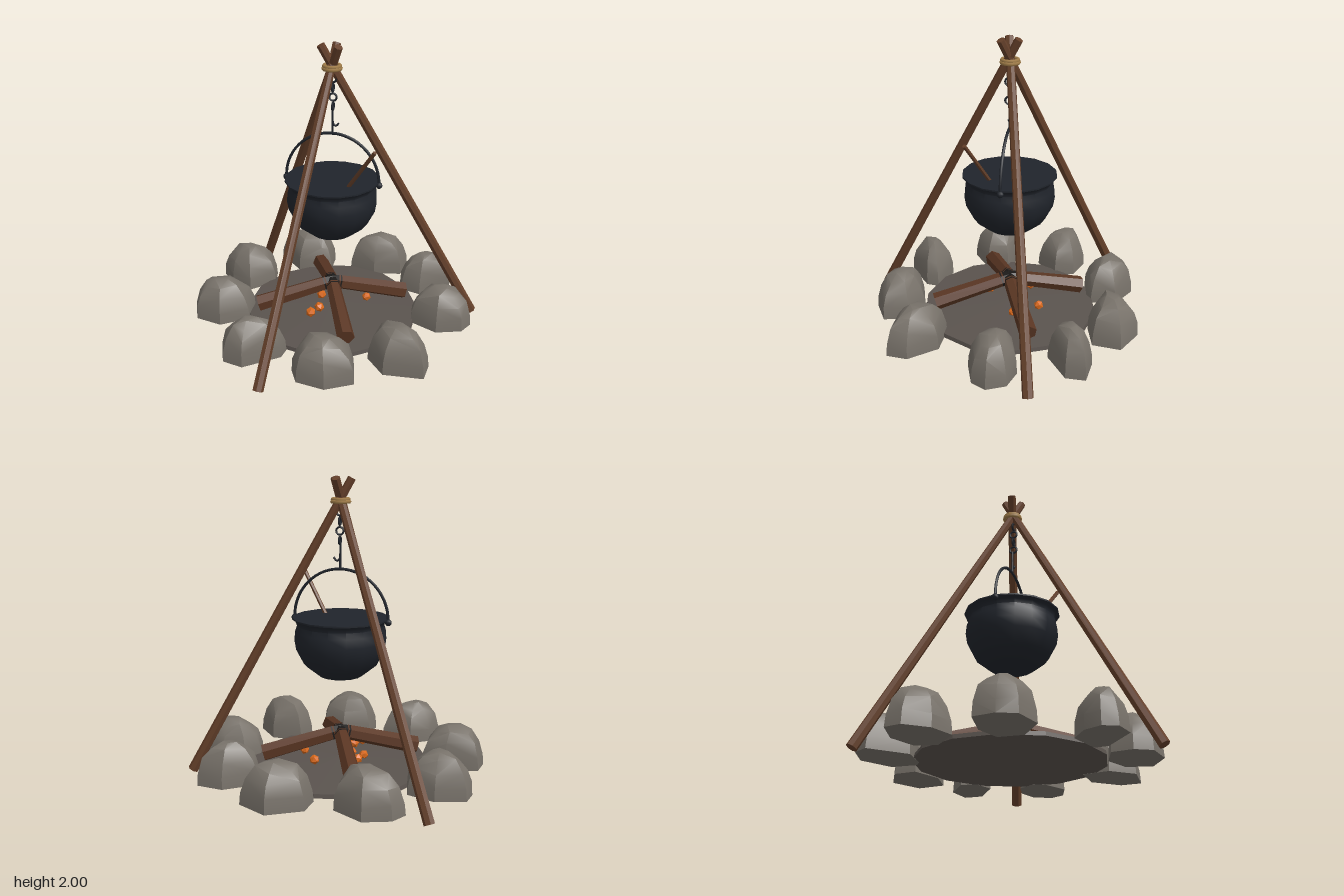
import * as THREE from 'three';
import { toCreasedNormals } from 'three/addons/utils/BufferGeometryUtils.js';
import { ConvexGeometry } from 'three/addons/geometries/ConvexGeometry.js';

const material = (color, flatShading = false) =>
  new THREE.MeshStandardMaterial({ color, flatShading });
const V = (x, y, z) => new THREE.Vector3(x, y, z);
const CX = -0.025, CZ = -0.05; // axis of the fire and pot

export function createModel() {
  const model = new THREE.Group();
  const wood = material(0x65402a, true);
  const logWood = material(0x5a3623, true);
  const char = material(0x1c1a19, true);
  const iron = material(0x20242b);
  const rope = material(0xa07c48);
  const stone = material(0x78726a);
  const ash = material(0x5a534e, true);
  const ember = material(0xd9691c, true);

  function add(name, geometry, mat, x = 0, y = 0, z = 0) {
    const mesh = new THREE.Mesh(geometry, mat);
    mesh.name = name;
    mesh.position.set(x, y, z);
    model.add(mesh);
    return mesh;
  }

  // Tapered rod between two points
  function rod(name, a, b, ra, rb, sides, mat) {
    const dir = b.clone().sub(a);
    const mesh = add(name, new THREE.CylinderGeometry(rb, ra, dir.length(), sides), mat);
    mesh.position.copy(a).lerp(b, 0.5);
    mesh.quaternion.setFromUnitVectors(V(0, 1, 0), dir.normalize());
    return mesh;
  }

  // Tripod poles crossing at the lashing
  rod('frontPole', V(-0.247, 0.02, 0.935), V(-0.01, 1.985, -0.11), 0.036, 0.028, 7, wood);
  rod('leftPole', V(0.94, 0.02, -0.35), V(-0.095, 1.985, -0.03), 0.036, 0.028, 7, wood);
  rod('backPole', V(-0.762, 0.02, -0.745), V(0.03, 1.985, 0.0), 0.036, 0.028, 7, wood);

  // Rope lashing
  for (const [y, r] of [[1.835, 0.056], [1.85, 0.052]]) {
    add('lashing', new THREE.TorusGeometry(r, 0.013, 6, 16), rope, CX, y, CZ).rotation.x = Math.PI / 2;
  }

  // Chain links, turned in alternation
  for (let i = 0; i < 4; i++) {
    const link = add('chainLink', new THREE.TorusGeometry(0.025, 0.007, 6, 12), iron, -0.018, 1.585 + i * 0.062, CZ + 0.005);
    link.rotation.y = i % 2 ? 0 : Math.PI / 2;
  }

  // Hook
  const hookPath = new THREE.CatmullRomCurve3([
    V(-0.022, 1.57, CZ), V(-0.022, 1.49, CZ), V(-0.015, 1.462, CZ), V(0.002, 1.452, CZ), V(0.022, 1.475, CZ),
  ]);
  add('hook', new THREE.TubeGeometry(hookPath, 14, 0.007, 6), iron);
  rod('hookStem', V(-0.022, 1.39, CZ), V(-0.022, 1.5, CZ), 0.007, 0.007, 6, iron);

  // Cauldron with a filled top
  const profile = [[0, 0.685], [0.145, 0.685], [0.245, 0.765], [0.297, 0.865], [0.308, 0.93], [0.303, 0.99], [0.29, 1.03], [0.3, 1.055], [0.32, 1.07], [0.32, 1.08], [0, 1.08]]
    .map(([r, y]) => new THREE.Vector2(r, y));
  add('cauldron', toCreasedNormals(new THREE.LatheGeometry(profile, 16), 0.7), iron, CX, 0, CZ);

  // Bail handle and its lugs
  const arc = [];
  for (let i = 0; i <= 16; i++) {
    const t = Math.PI * i / 16;
    arc.push(V(CX + 0.322 * Math.cos(t), 1.065 + 0.335 * Math.sin(t), CZ));
  }
  add('handle', new THREE.TubeGeometry(new THREE.CatmullRomCurve3(arc), 28, 0.01, 6), iron);
  for (const s of [-1, 1]) {
    add('handleLug', new THREE.SphereGeometry(0.023, 8, 6), iron, CX + s * 0.322, 1.06, CZ);
  }

  // Stirring stick
  rod('stirringStick', V(0.09, 1.04, 0.045), V(0.31, 1.375, 0.175), 0.014, 0.014, 6, wood);

  // Ash bed
  const bed = [[0, 0.058], [0.61, 0.058], [0.605, 0.085], [0, 0.115]].map(([r, y]) => new THREE.Vector2(r, y));
  add('ashBed', new THREE.LatheGeometry(bed, 14), ash, CX, 0, CZ - 0.005);

  // Logs leaning together, with charred tips
  for (let i = 0; i < 4; i++) {
    const a = 1.145 + i * Math.PI / 2;
    const at = (r, y) => V(CX + r * Math.cos(a), y, CZ + r * Math.sin(a));
    rod('log', at(0.53, 0.16), at(0.04, 0.28), 0.06, 0.05, 6, logWood);
    rod('charredTip', at(0.06, 0.275), at(-0.01, 0.292), 0.052, 0.04, 6, char);
  }

  // Embers
  for (const [x, z, r] of [[-0.12, 0.18, 0.036], [-0.08, 0.1, 0.036], [0.21, -0.12, 0.032],
    [0.09, -0.28, 0.034], [-0.11, -0.07, 0.034], [-0.18, -0.18, 0.034], [-0.2, -0.1, 0.032]]) {
    add('ember', new THREE.IcosahedronGeometry(r, 0), ember, x, 0.155, z).rotation.set(x * 9, z * 7, 0);
  }

  // Ring of stones: footprint corners (x, z) drawn in towards a rounded top
  const footprints = [
    [[0.18, -0.97], [0.38, -0.87], [0.36, -0.68], [0.16, -0.63], [-0.04, -0.7], [-0.03, -0.85]],
    [[-0.39, -0.9], [-0.19, -0.79], [-0.18, -0.62], [-0.23, -0.58], [-0.42, -0.55], [-0.62, -0.74], [-0.56, -0.84]],
    [[0.57, -0.7], [0.75, -0.68], [0.75, -0.55], [0.55, -0.41], [0.41, -0.45], [0.38, -0.56]],
    [[0.76, -0.25], [0.9, -0.21], [0.96, -0.09], [0.91, 0.01], [0.74, 0.07], [0.55, -0.02], [0.54, -0.1], [0.61, -0.21]],
    [[0.38, 0.3], [0.6, 0.3], [0.75, 0.47], [0.74, 0.61], [0.48, 0.63], [0.35, 0.48]],
    [[0.12, 0.53], [0.29, 0.6], [0.33, 0.77], [0.16, 0.87], [-0.03, 0.84], [-0.09, 0.73], [-0.07, 0.59]],
    [[-0.41, 0.46], [-0.19, 0.52], [-0.2, 0.61], [-0.41, 0.78], [-0.55, 0.75], [-0.59, 0.66], [-0.54, 0.55]],
    [[-0.73, 0.01], [-0.57, 0.06], [-0.56, 0.22], [-0.73, 0.35], [-0.92, 0.31], [-0.97, 0.2], [-0.95, 0.06]],
    [[-0.75, -0.51], [-0.57, -0.45], [-0.54, -0.31], [-0.69, -0.16], [-0.85, -0.21], [-0.96, -0.34], [-0.94, -0.45]],
  ];
  const layers = [[0.057, 1], [0.14, 0.97], [0.23, 0.83], [0.295, 0.56], [0.328, 0.24]]; // height, scale
  footprints.forEach((corners, k) => {
    const mx = corners.reduce((s, c) => s + c[0], 0) / corners.length;
    const mz = corners.reduce((s, c) => s + c[1], 0) / corners.length;
    const points = [];
    layers.forEach(([y, s], j) => corners.forEach(([x, z], i) => {
      const wobble = j ? 0.012 * Math.sin(i * 2.3 + j * 1.7 + k * 4.1) : 0;
      const lift = j === 4 ? Math.min(wobble, 0.004) : wobble;
      points.push(V(mx + (x - mx) * s, y + lift, mz + (z - mz) * s));
    }));
    add('stone', toCreasedNormals(new ConvexGeometry(points), 0.55), stone);
  });

  return model;
}
